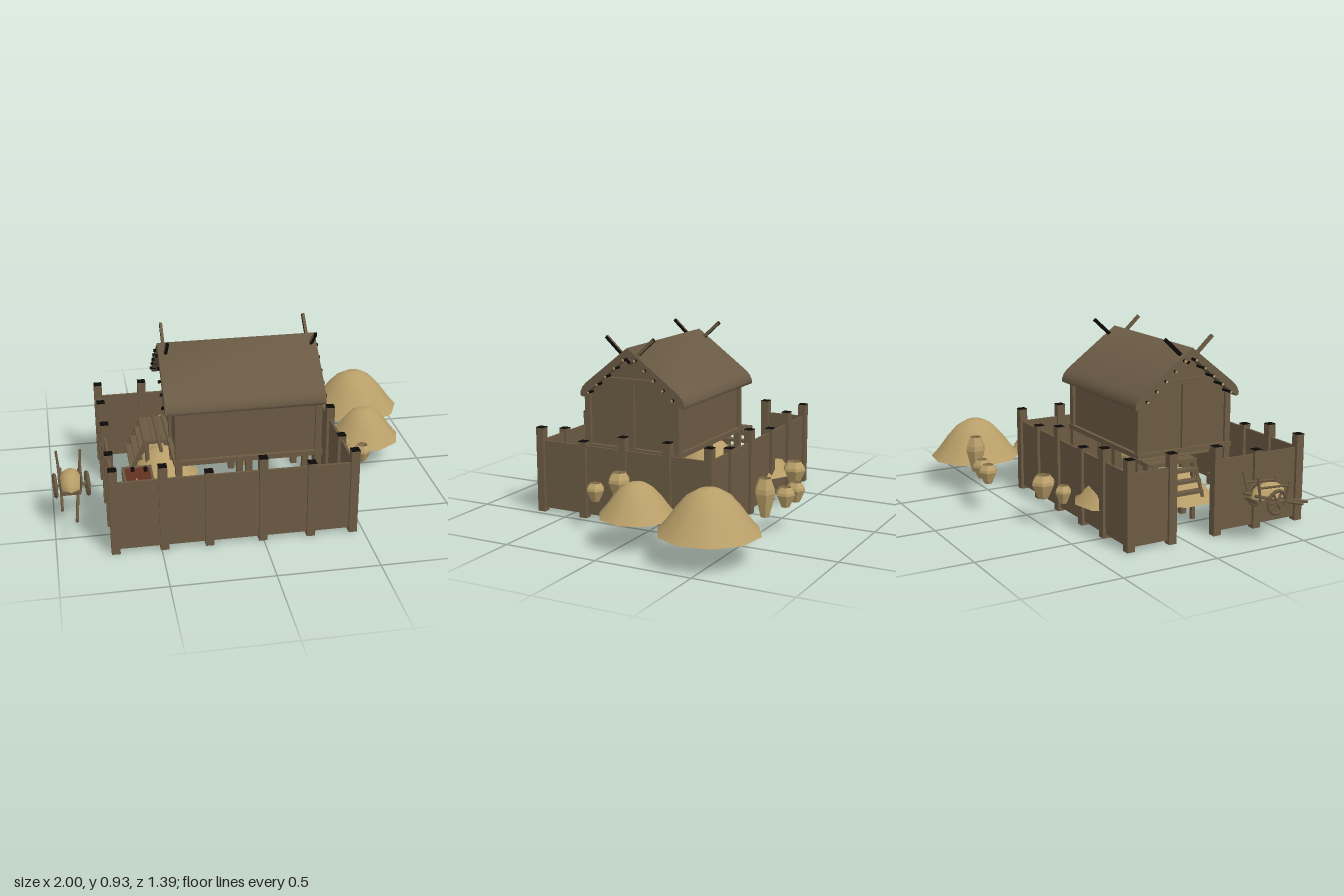
import * as THREE from 'three';
import { toCreasedNormals } from 'three/addons/utils/BufferGeometryUtils.js';

const wood = new THREE.MeshStandardMaterial({ color: 0x6b5a42 });
const thatch = new THREE.MeshStandardMaterial({ color: 0x6b5b45 });
const straw = new THREE.MeshStandardMaterial({ color: 0xb99f69, side: THREE.DoubleSide });
const clay = new THREE.MeshStandardMaterial({ color: 0x7d6a47, side: THREE.DoubleSide });
const redEarth = new THREE.MeshStandardMaterial({ color: 0x633220 });
const charred = new THREE.MeshStandardMaterial({ color: 0x0c0a08 });

export function createModel() {
  const root = new THREE.Group();
  const group = (name, parent = root) => {
    const g = new THREE.Group();
    g.name = name;
    parent.add(g);
    return g;
  };
  const add = (parent, name, geo, mat) => {
    const m = new THREE.Mesh(geo, mat);
    m.name = name;
    parent.add(m);
    return m;
  };
  // Box given by its limits on each axis
  const box = (parent, name, mat, x0, x1, y0, y1, z0, z1) => {
    const m = add(parent, name, new THREE.BoxGeometry(x1 - x0, y1 - y0, z1 - z0), mat);
    m.position.set((x0 + x1) / 2, (y0 + y1) / 2, (z0 + z1) / 2);
    return m;
  };
  // Round pole between two points
  const pole = (parent, name, mat, a, b, r) => {
    const p = new THREE.Vector3(...a), q = new THREE.Vector3(...b);
    const d = q.clone().sub(p);
    const m = add(parent, name, new THREE.CylinderGeometry(r, r, d.length(), 6), mat);
    m.position.copy(p).add(q).multiplyScalar(0.5);
    m.quaternion.setFromUnitVectors(new THREE.Vector3(0, 1, 0), d.normalize());
    return m;
  };
  const lathe = (pts, sides) => new THREE.LatheGeometry(pts.map(p => new THREE.Vector2(...p)), sides);
  // Profile of (-z, y) points about a centre line, extruded along x
  const alongX = (pts, x0, x1, z) => {
    const shape = new THREE.Shape(pts.map(p => new THREE.Vector2(...p)));
    const geo = new THREE.ExtrudeGeometry(shape, { depth: x1 - x0, bevelEnabled: false });
    return geo.rotateY(Math.PI / 2).translate(x0, 0, z);
  };

  // Fence with a gate on the right side
  const fence = group('fence');
  const xs = [-0.72, -0.485, -0.265, -0.003, 0.235, 0.447];
  const zs = [-0.31, -0.08, 0.175, 0.41, 0.667];
  const post = (x, z, top) => {
    box(fence, 'fencePost', wood, x - 0.021, x + 0.021, 0, top, z - 0.021, z + 0.021);
    box(fence, 'postCap', charred, x - 0.021, x + 0.021, top, top + 0.003, z - 0.021, z + 0.021);
  };
  for (const z of [zs[0], zs[4]]) {
    xs.forEach((x, i) => {
      post(x, z, i === 2 || i === 4 ? 0.4 : 0.447);
      if (i) box(fence, 'fencePanel', wood, xs[i - 1], x, 0.02, 0.38, z - 0.006, z + 0.006);
    });
  }
  for (const x of [xs[0], xs[5]]) {
    zs.forEach((z, i) => {
      if (i > 0 && i < 4) post(x, z, i === 3 ? 0.4 : 0.447);
      if (i && !(x < 0 && i === 2)) box(fence, 'fencePanel', wood, x - 0.006, x + 0.006, 0.02, 0.38, zs[i - 1], z);
    });
  }

  // Raised house
  const house = group('house');
  add(house, 'walls', alongX([[-0.26, 0.35], [0.26, 0.35], [0.26, 0.64], [0, 0.845], [-0.26, 0.64]], -0.385, 0.31, 0.2), wood);
  for (const z of [-0.06, 0.2, 0.46]) {
    for (const x of [-0.383, -0.035, 0.312]) {
      const top = x === -0.035 ? 0.35 : z === 0.2 ? 0.69 : 0.62;
      box(house, 'stilt', wood, x - 0.016, x + 0.016, 0.01, top, z - 0.016, z + 0.016);
    }
  }
  for (const x of [-0.39, 0.316]) {
    box(house, 'tieBeam', wood, x - 0.012, x + 0.012, 0.69, 0.72, 0.04, 0.36);
    box(house, 'floorBeam', wood, x - 0.018, x + 0.018, 0.335, 0.36, -0.08, 0.48);
  }
  for (const z of [-0.07, 0.47]) box(house, 'floorBeam', wood, -0.4, 0.33, 0.335, 0.36, z - 0.01, z + 0.01);

  // Thick, slightly lopsided roof with rounded eaves and ridge
  const eave = s => [[0.27, 0.675], [0.293, 0.65], [0.305, 0.622], [0.303, 0.606], [0.29, 0.6], [0.27, 0.617]]
    .map(([z, y]) => [s * z, y - s * 0.008]);
  const roofPts = [[-0.022, 0.835], ...eave(1).reverse(), [-0.022, 0.88], ...eave(-1)];
  add(house, 'roof', toCreasedNormals(alongX(roofPts, -0.445, 0.343, 0.188), 1.42), thatch);

  // Purlin ends under the roof edge
  for (const side of [-1, 1]) {
    for (let i = 0; i < 5; i++) {
      const y = 0.635 + i * 0.046, z = 0.192 + side * (0.245 - i * 0.053);
      for (const [x0, x1] of [[-0.459, -0.38], [0.31, 0.357]]) {
        pole(house, 'purlin', [charred, straw, straw], [x0, y, z], [x1, y, z], 0.0075);
      }
    }
    // Crossed gable horns, dark on the tip, the underside and one flank
    for (const x of [-0.41, 0.314]) {
      const [px, nx] = side > 0 ? [charred, wood] : [wood, charred];
      const horn = add(house, 'gableHorn', new THREE.BoxGeometry(0.015, 0.19, 0.017), [px, nx, charred, wood, px, nx]);
      horn.position.set(x, 0.863, 0.208 + side * 0.068);
      horn.rotation.x = side * 0.83;
    }
  }

  // Porch with steps at the house door
  const porch = group('porch');
  for (let i = 0; i < 3; i++) box(porch, 'plank', wood, -0.527 + i * 0.046, -0.482 + i * 0.046, 0.32, 0.34, -0.085, 0.19);
  for (let i = 0; i < 3; i++) box(porch, 'step', wood, -0.6 + i * 0.025, -0.56 + i * 0.025, 0.18 + i * 0.05, 0.195 + i * 0.05, -0.085, 0.185);
  for (const z of [-0.08, 0.18]) {
    pole(porch, 'stringer', wood, [-0.6, 0.16, z], [-0.51, 0.34, z], 0.01);
    box(porch, 'porchPost', wood, -0.52, -0.5, 0.02, 0.32, z - 0.01, z + 0.01);
  }
  pole(porch, 'sideBeam', wood, [-0.45, 0.34, 0.31], [-0.45, 0.34, -0.085], 0.01);

  // Bell-shaped heaps
  const heaps = group('heaps');
  for (const [x, z, r, y, h, n] of [
    [0.752, -0.462, 0.248, 0.135, 0.21, 10], [0.7, -0.052, 0.192, 0.143, 0.165, 9],
    [-0.35, -0.2, 0.19, 0.13, 0.16, 9], [-0.43, 0.14, 0.19, 0.12, 0.15, 9]]) {
    const geo = lathe([[1, 0], [0.82, 0.24], [0.62, 0.56], [0.42, 0.82], [0.2, 0.97], [0, 1]].map(([a, b]) => [a * r, b * h]), n);
    const heap = add(heaps, 'heap', geo, straw);
    heap.position.set(x, y, z);
    heap.rotation.y = 0.2;
  }

  // Six-sided jars, wide at the shoulder and open at the top
  const jars = group('jars');
  for (const [x, z, r, y, h] of [
    [-0.3, -0.44, 0.043, 0.14, 0.09], [-0.18, -0.49, 0.062, 0.14, 0.12], [0.16, -0.64, 0.05, 0.15, 0.1],
    [0.265, -0.63, 0.05, 0.15, 0.1], [0.43, -0.595, 0.053, 0.14, 0.19], [0.5, 0.17, 0.06, 0.15, 0.13],
    [0.61, 0.24, 0.048, 0.15, 0.093], [0.01, 0.115, 0.05, 0.12, 0.19]]) {
    const scale = ([a, b]) => [a * r, b * h];
    const flat = geo => { const g = geo.toNonIndexed(); g.computeVertexNormals(); return g; };
    const outer = lathe([[0, 0], [0.42, 0], [0.55, 0.12], [1, 0.62], [0.95, 0.75], [0.58, 1]].map(scale), 6);
    const inner = lathe([[0.58, 1], [0.45, 0.9], [0, 0.7]].map(scale), 6);
    add(jars, 'jar', flat(outer), straw).position.set(x, y, z);
    add(jars, 'jarInside', flat(inner), clay).position.set(x, y, z);
  }

  // Shallow trays of red earth
  const trays = group('trays');
  for (const [x0, x1, z0, z1] of [[-0.65, -0.5, 0.27, 0.49], [0.02, 0.24, 0.43, 0.61]]) {
    box(trays, 'trayBase', wood, x0, x1, 0.19, 0.205, z0, z1);
    box(trays, 'trayFill', redEarth, x0 + 0.01, x1 - 0.01, 0.205, 0.24, z0 + 0.01, z1 - 0.01);
    for (const x of [x0, x1 - 0.012]) box(trays, 'traySide', wood, x, x + 0.012, 0.19, 0.245, z0, z1);
    for (const z of [z0, z1 - 0.012]) box(trays, 'trayEnd', wood, x0, x1, 0.19, 0.245, z, z + 0.012);
    for (let i = 0; i < 4; i++) {
      const x = x0 + 0.04 + ((i * 7) % 5) * 0.02, z = z1 - 0.04 - i * 0.017;
      box(trays, 'grain', straw, x, x + 0.009, 0.239, 0.243, z, z + 0.006);
    }
  }
  for (const [x, z] of [[-0.597, 0.3], [-0.533, 0.31]]) box(trays, 'tool', charred, x - 0.009, x + 0.009, 0.239, 0.247, z - 0.02, z + 0.02);

  // Two-wheeled handcart with a load
  const cart = group('cart');
  box(cart, 'bed', wood, -0.96, -0.86, 0.205, 0.222, 0.25, 0.44);
  pole(cart, 'axle', wood, [-0.995, 0.21, 0.345], [-0.81, 0.21, 0.345], 0.008);
  for (const x of [-0.985, -0.826]) {
    const wheel = group('wheel', cart);
    wheel.position.set(x, 0.213, 0.345);
    wheel.rotation.y = Math.PI / 2 + 0.08;
    add(wheel, 'rim', new THREE.TorusGeometry(0.056, 0.009, 5, 14), wood);
    for (let i = 0; i < 3; i++) {
      const a = i * Math.PI / 3, c = Math.cos(a) * 0.055, s = Math.sin(a) * 0.055;
      pole(wheel, 'spoke', wood, [-c, -s, 0], [c, s, 0], 0.006);
    }
  }
  pole(cart, 'shaft', wood, [-0.955, 0.25, 0.24], [-0.958, 0.17, 0.52], 0.008);
  pole(cart, 'shaft', wood, [-0.862, 0.24, 0.24], [-0.893, 0.15, 0.6], 0.008);
  for (const s of [-1, 1]) {
    pole(cart, 'backStake', wood, [-0.91 + s * 0.047, 0.21, 0.27], [-0.91 + s * 0.06, 0.35, 0.24], 0.007);
    pole(cart, 'frontStake', wood, [-0.91 + s * 0.047, 0.21, 0.42], [-0.91 + s * 0.055, 0.3, 0.43], 0.006);
    pole(cart, 'sideRail', wood, [-0.91 + s * 0.056, 0.29, 0.245], [-0.91 + s * 0.053, 0.28, 0.43], 0.006);
  }
  const load = add(cart, 'load', lathe([[0.058, 0], [0.052, 0.035], [0.03, 0.06], [0, 0.07]], 8), straw);
  load.position.set(-0.908, 0.222, 0.35);
  load.scale.z = 1.7;

  return root;
}
